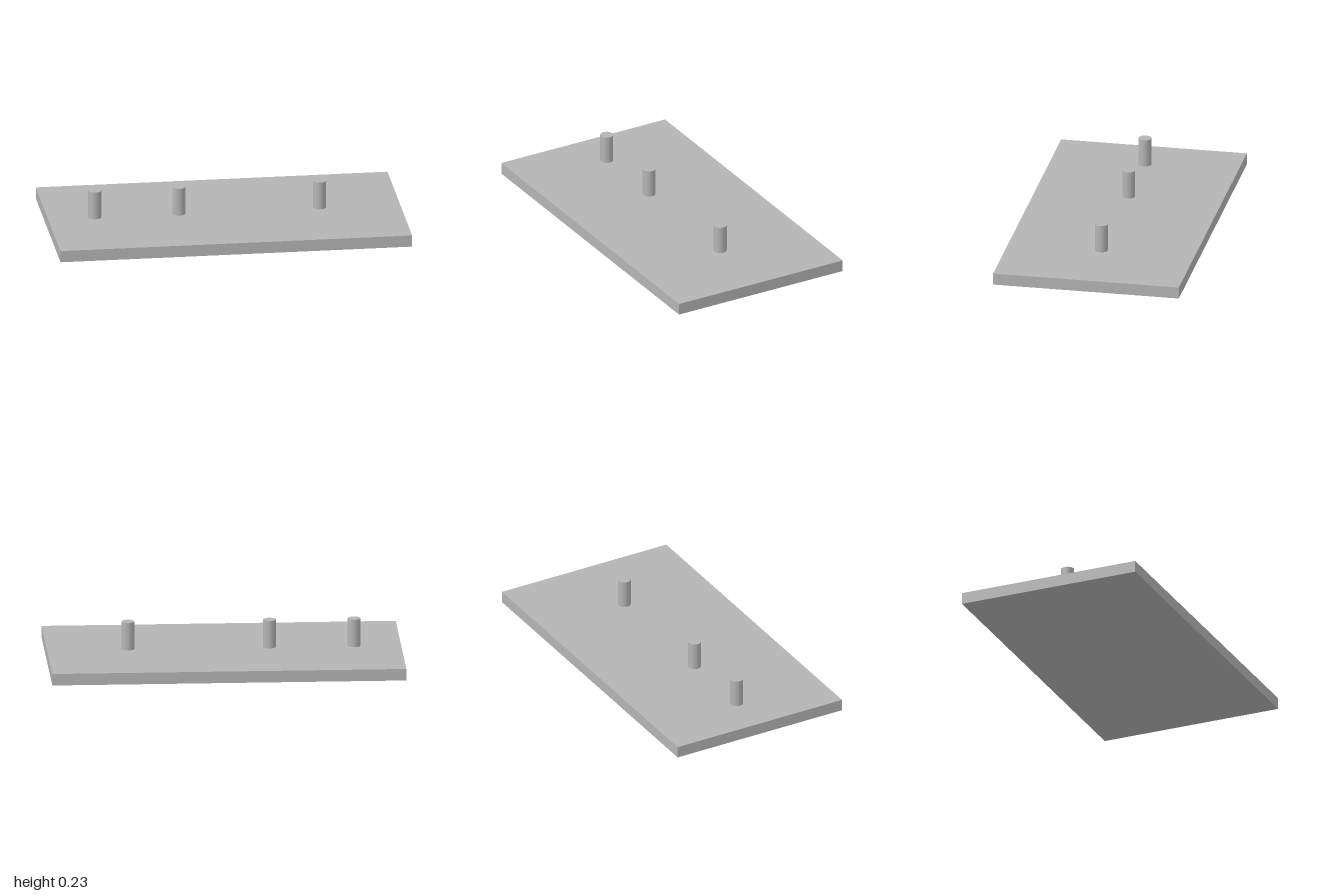
import * as THREE from 'three';

export function createModel() {
  const model = new THREE.Group();
  model.name = 'pegBoard';

  const grey = new THREE.MeshStandardMaterial({ color: 0xb4b4b4 });
  grey.name = 'grey';

  // Flat rectangular base
  const plateHeight = 0.067;
  const plate = new THREE.Mesh(new THREE.BoxGeometry(2, plateHeight, 1.067), grey);
  plate.name = 'basePlate';
  plate.position.y = plateHeight / 2;
  model.add(plate);

  // Row of upright pegs along the centre line
  const pegHeight = 0.16;
  const pegGeometry = new THREE.CylinderGeometry(0.0367, 0.0367, pegHeight, 48);
  [-0.735, -0.257, 0.543].forEach((x, i) => {
    const peg = new THREE.Mesh(pegGeometry, grey);
    peg.name = `peg${i + 1}`;
    peg.position.set(x, plateHeight + pegHeight / 2, 0);
    model.add(peg);
  });

  return model;
}
